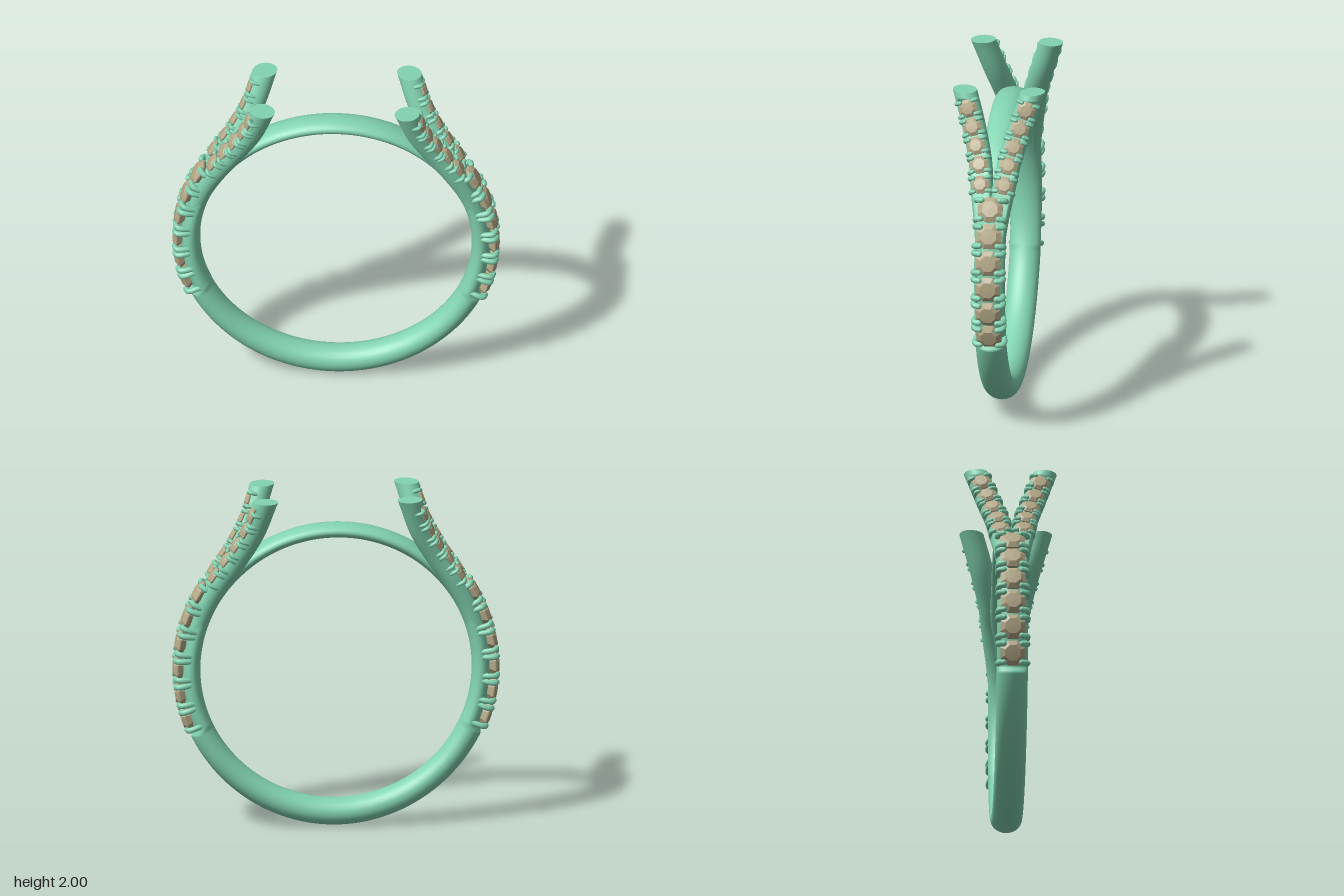
import * as THREE from 'three';
import { mergeGeometries } from 'three/addons/utils/BufferGeometryUtils.js';
import { ParametricGeometry } from 'three/addons/geometries/ParametricGeometry.js';

const V = (x, y, z) => new THREE.Vector3(x, y, z);
const { smoothstep, degToRad, radToDeg } = THREE.MathUtils;
const TAU = Math.PI * 2;
const CENTRE_Y = 0.945, INNER_R = 0.785;

const metal = new THREE.MeshStandardMaterial({ color: 0x82d3b1 });
const stone = new THREE.MeshStandardMaterial({ color: 0xb5a988, flatShading: true });

// Finger band: elliptical section, cut down under the stones and thin over the top
function bandGeometry() {
  return new ParametricGeometry((u, v, out) => {
    const th = u * TAU, ph = v * TAU;
    const a = radToDeg(Math.asin(THREE.MathUtils.clamp(Math.sin(th), -1, 1)));
    const thick = 0.16 - 0.015 * smoothstep(a, -90, -30)
      - 0.035 * smoothstep(a, -25.5, -23.5) - 0.025 * smoothstep(a, 32, 48);
    const halfWidth = 0.09 - 0.006 * smoothstep(a, 30, 60);
    const r = INNER_R + thick / 2 * (1 + Math.cos(ph));
    out.set(r * Math.cos(th), CENTRE_Y + r * Math.sin(th), halfWidth * Math.sin(ph));
  }, 360, 28);
}

// Centre line of one of the four split shoulders
function armCurve(sx, sz) {
  return new THREE.CatmullRomCurve3([
    [0.84, 0.98, 0.025], [0.82, 1.15, 0.03], [0.765, 1.32, 0.042], [0.67, 1.5, 0.066],
    [0.588, 1.62, 0.085], [0.487, 1.8, 0.135], [0.418, 2, 0.197],
  ].map(([x, y, z]) => V(sx * x, y, sz * z)));
}

// Axes on an arm: t along it, n outward, b across
function armFrame(curve, sx, u) {
  const p = curve.getPointAt(u), t = curve.getTangentAt(u);
  const n = V(sx, 0, 0).addScaledVector(t, -sx * t.x).normalize();
  return { p, t, n, b: n.clone().cross(t) };
}

// Arm tube: flattened on the outside under the stones, cut level at the top
function armPoint(curve, sx, u, v, out) {
  const { p, t, n, b } = armFrame(curve, sx, u);
  const r = 0.05 + 0.018 * smoothstep(u, 0, 0.6);
  const flat = 0.043 + 0.026 * smoothstep(u, 0.95, 0.97);
  const off = n.multiplyScalar(Math.min(r * Math.cos(v * TAU), flat))
    .addScaledVector(b, r * Math.sin(v * TAU));
  off.addScaledVector(t, -off.y / t.y * smoothstep(u, 0.85, 1));
  return out.copy(p).add(off);
}

function arm(curve, sx) {
  const group = new THREE.Group();
  group.name = 'splitShoulder';
  const tube = new THREE.Mesh(new ParametricGeometry(
    (u, v, out) => armPoint(curve, sx, u, v, out), 64, 28), metal);
  tube.name = 'shoulderTube';
  // Level end cap
  const rim = [];
  for (let i = 0; i < 28; i++) {
    const q = armPoint(curve, sx, 1, i / 28, V());
    rim.push(new THREE.Vector2(q.x, -q.z));
  }
  const cap = new THREE.Mesh(
    new THREE.ShapeGeometry(new THREE.Shape(rim)).rotateX(-Math.PI / 2), metal);
  cap.position.y = 2;
  cap.name = 'shoulderEnd';
  group.add(tube, cap);
  return group;
}

// Faceted stone of radius 1, y outward
const gemGeometry = new THREE.LatheGeometry(
  [[0, -0.95], [0.6, -0.6], [1, -0.06], [1, 0.04], [0.62, 0.29], [0, 0.31]]
    .map(([x, y]) => new THREE.Vector2(x, y)), 8).rotateY(Math.PI / 8);

// Four bent claws with rounded tips, holding a stone of radius 1
function clawGeometry() {
  const parts = [];
  for (const sx of [-1, 1]) for (const sz of [-1, 1]) {
    const path = new THREE.CatmullRomCurve3([
      V(sx * 0.95, -1, sz * 0.72), V(sx * 1.1, -0.4, sz * 0.72),
      V(sx * 1.04, 0, sz * 0.72), V(sx * 0.66, 0.12, sz * 0.7)]);
    parts.push(new THREE.TubeGeometry(path, 9, 0.22, 8),
      new THREE.SphereGeometry(0.22, 8, 6).translate(sx * 0.66, 0.12, sz * 0.7));
  }
  return mergeGeometries(parts);
}
const claws = clawGeometry();

function setting(p, b, n, t, size) {
  const group = new THREE.Group();
  group.name = 'stoneSetting';
  const gem = new THREE.Mesh(gemGeometry, stone);
  gem.name = 'stone';
  const prongs = new THREE.Mesh(claws, metal);
  prongs.name = 'claws';
  group.add(gem, prongs);
  group.position.copy(p);
  group.quaternion.setFromRotationMatrix(new THREE.Matrix4().makeBasis(b, n, t));
  group.scale.setScalar(size);
  return group;
}

export function createModel() {
  const model = new THREE.Group();
  model.name = 'ring';
  const band = new THREE.Mesh(bandGeometry(), metal);
  band.name = 'band';
  model.add(band);

  for (const sx of [-1, 1]) {
    // Six large stones down each side of the band
    for (let i = 0; i < 6; i++) {
      const a = degToRad(-18.7 + 9.7 * i);
      const n = V(sx * Math.cos(a), Math.sin(a), 0);
      const t = V(-n.y, n.x, 0);
      const p = n.clone().multiplyScalar(0.921).add(V(0, CENTRE_Y, 0));
      model.add(setting(p, n.clone().cross(t), n, t, 0.078));
    }
    // Two arms a side, each with five smaller stones
    for (const sz of [-1, 1]) {
      const curve = armCurve(sx, sz);
      model.add(arm(curve, sx));
      for (let i = 0; i < 5; i++) {
        const { p, t, n, b } = armFrame(curve, sx, 0.488 + 0.103 * i);
        model.add(setting(p.addScaledVector(n, 0.052), b, n, t, 0.056));
      }
    }
  }
  return model;
}
